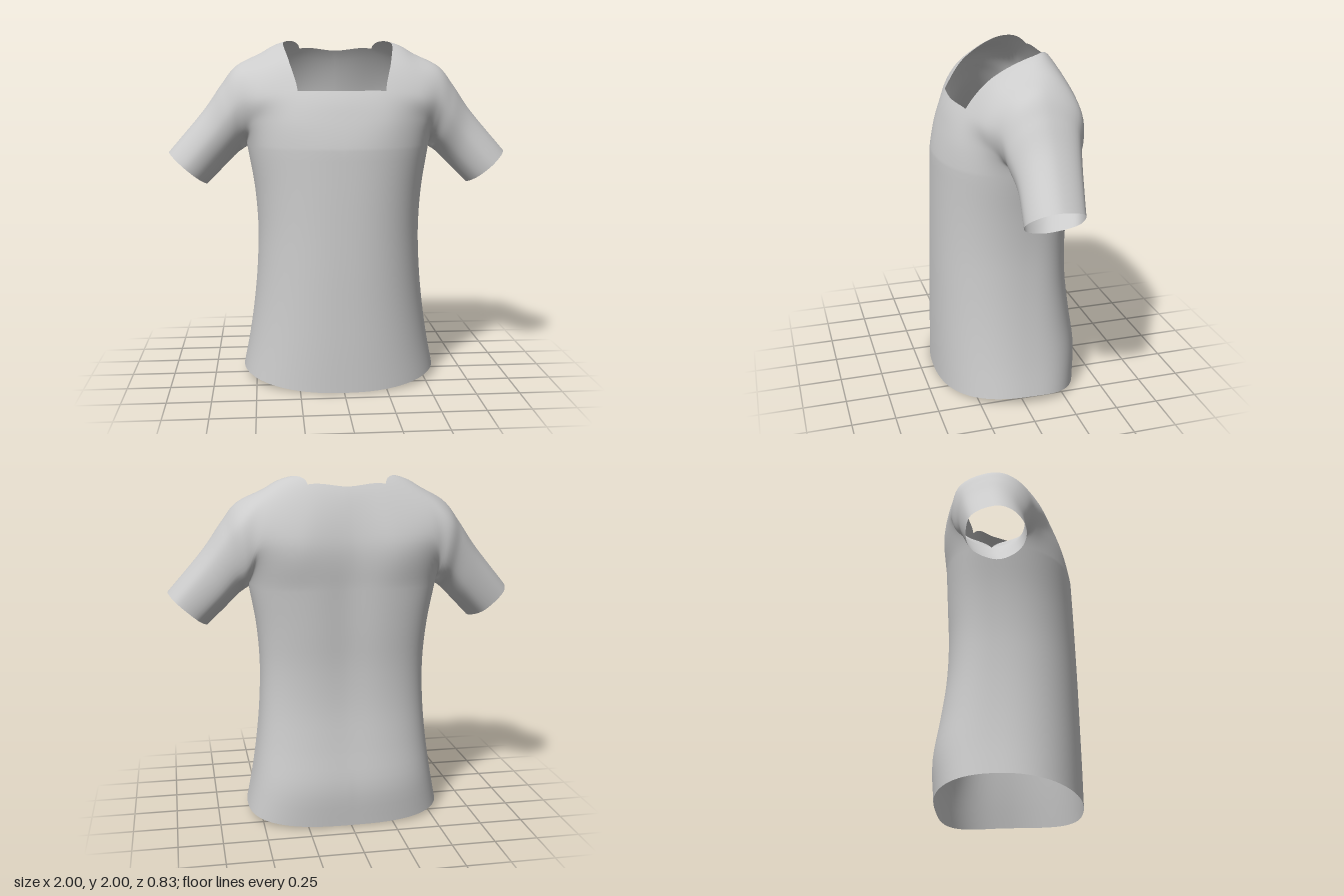
import * as THREE from 'three';
import { mergeVertices } from 'three/addons/utils/BufferGeometryUtils.js';

const V = (x, y, z) => new THREE.Vector3(x, y, z);
const spline = (pts) => new THREE.CatmullRomCurve3(pts, false, 'catmullrom', 0.5);
const N = 8;          // subdivisions per control interval
const TORSO_ROWS = 24;
const ARMPIT = 1.38;

// Torso profile at even heights from hem to armpit: half width, front z, back z
const profile = spline([
  V(0.585, 0.42, -0.4), V(0.54, 0.418, -0.415), V(0.507, 0.414, -0.382), V(0.487, 0.41, -0.353),
  V(0.482, 0.404, -0.346), V(0.5, 0.397, -0.357), V(0.54, 0.388, -0.368),
]);

// Torso point: u = 0 on the centre line, u = 3 at the side seam
function torso(u, y, back) {
  const t = Math.max(0, y / ARMPIT);
  const p = profile.getPoint(t);
  const zc = -0.04 - 0.04 * t ** 3;
  const a = u * Math.PI / 6;
  const s = Math.sin(a), c = Math.max(0, Math.cos(a));
  const n = back ? 2.8 : 2.3;
  const r = (s ** n + c ** n) ** (-1 / n);
  const x = p.x * r * s;
  let z = zc + ((back ? p.z : p.y) - zc) * r * c;
  if (back) z += 0.02 * t * Math.exp(-((x / 0.13) ** 2));   // spine furrow
  return V(x, y, z);
}

// Arm cross-section running from the underside, over the front and top, to the back
function armRing(top, bottom, zFront, zBack) {
  const zc = (zFront + zBack) / 2, d = (zFront - zBack) / 2;
  return [50, 95, 140, 180, 235, 300].map((deg) => {
    const a = deg * Math.PI / 180, k = (1 - Math.cos(a)) / 2;
    return V(bottom[0] + (top[0] - bottom[0]) * k, bottom[1] + (top[1] - bottom[1]) * k,
      zc + d * Math.sin(a));
  });
}

// Arches over the shoulder, from the centre line out to the cuff
const arches = [
  [V(0, 1.55, 0.345), V(0, 1.71, 0.278), V(0, 1.92, 0.13), V(0, 2.03, -0.1), V(0, 1.945, -0.255), V(0, 1.65, -0.352)],
  [V(0.27, 1.55, 0.315), V(0.25, 1.71, 0.255), V(0.295, 1.88, 0.12), V(0.32, 1.99, -0.1), V(0.22, 1.957, -0.235), V(0.27, 1.65, -0.37)],
  [V(0.475, 1.54, 0.2), V(0.455, 1.68, 0.215), V(0.46, 1.84, 0.1), V(0.46, 1.925, -0.1), V(0.46, 1.86, -0.25), V(0.48, 1.64, -0.33)],
  armRing([0.6, 1.85], [0.54, 1.38], 0.16, -0.32),
  armRing([0.69, 1.74], [0.6, 1.34], 0.135, -0.28),
  armRing([0.8, 1.585], [0.68, 1.26], 0.11, -0.25),
  armRing([1, 1.35], [0.78, 1.16], 0.12, -0.21),
];
const mirrored = arches[1].map((p) => V(-p.x, p.y, p.z));
const arcRows = arches[0].map((_, r) => spline([mirrored[r], ...arches.map((c) => c[r])]));
const underarm = spline([V(0.54, 1.38, -0.08), V(0.6, 1.34, -0.075), V(0.68, 1.26, -0.07), V(0.78, 1.16, -0.045)]);

// Arch at u, subdivided; it starts on the torso or closes under the sleeve
function archColumn(u) {
  const mid = arcRows.map((row) => row.getPoint((u + 1) / 7));
  const onBody = Math.min(u, 3);
  const close = THREE.MathUtils.clamp((u - 3) * 2, 0, 1);
  const start = u <= 3 ? torso(u, ARMPIT, false) : underarm.getPoint((u - 3) / 3);
  const end = u <= 3 ? torso(u, ARMPIT, true) : start.clone();
  const before = torso(onBody, 1.25, false).lerp(mid[5], close);
  const after = torso(onBody, 1.25, true).lerp(mid[0], close);
  const curve = spline([before, start, ...mid, end, after]);
  const out = [];
  for (let j = 0; j <= 7 * N; j++) out.push(curve.getPoint((1 + j / N) / 9));
  return out;
}

// Torso strip from the curved hem up to just below armpit height
function torsoColumn(u, back) {
  const hem = 0.05 - 0.05 * (torso(u, 0, back).z / 0.42) ** 2;
  const out = [];
  for (let j = 0; j < TORSO_ROWS; j++) {
    out.push(torso(u, hem + (ARMPIT - hem) * j / TORSO_ROWS, back));
  }
  return out;
}

// Quads between neighbouring columns, on both halves of the garment
function addGrid(out, columns, skip) {
  const tri = (a, b, c) => {
    for (const p of [a, b, c]) out.push(p.x, p.y, p.z);
    for (const p of [a, c, b]) out.push(-p.x, p.y, p.z);
  };
  for (let i = 0; i + 1 < columns.length; i++) {
    for (let j = 0; j + 1 < columns[i].length; j++) {
      if (skip && skip(i, j)) continue;
      const a = columns[i][j], b = columns[i + 1][j], c = columns[i + 1][j + 1], d = columns[i][j + 1];
      tri(a, b, c);
      tri(a, c, d);
    }
  }
}

export function createModel() {
  const body = [], sleeve = [];
  for (let i = 0; i <= 3 * N; i++) {
    const u = i / N;
    body.push([...torsoColumn(u, false), ...archColumn(u), ...torsoColumn(u, true).reverse()]);
    sleeve.push(archColumn(3 + u));
  }

  // The neck opening is the part of the grid inside the neck edge
  const neck = (i, j) => i < N && j >= TORSO_ROWS + 2 * N && j < TORSO_ROWS + 5 * N;
  const positions = [];
  addGrid(positions, body, neck);
  addGrid(positions, sleeve);

  // Weld body and sleeves so the cloth shades as one smooth surface
  let geometry = new THREE.BufferGeometry();
  geometry.setAttribute('position', new THREE.Float32BufferAttribute(positions, 3));
  geometry = mergeVertices(geometry, 1e-4);
  geometry.computeVertexNormals();

  const shirt = new THREE.Mesh(geometry,
    new THREE.MeshStandardMaterial({ color: 0xcccccc, side: THREE.DoubleSide }));
  shirt.name = 'shirtBodyAndSleeves';
  const group = new THREE.Group();
  group.name = 'shirt';
  group.add(shirt);
  return group;
}
